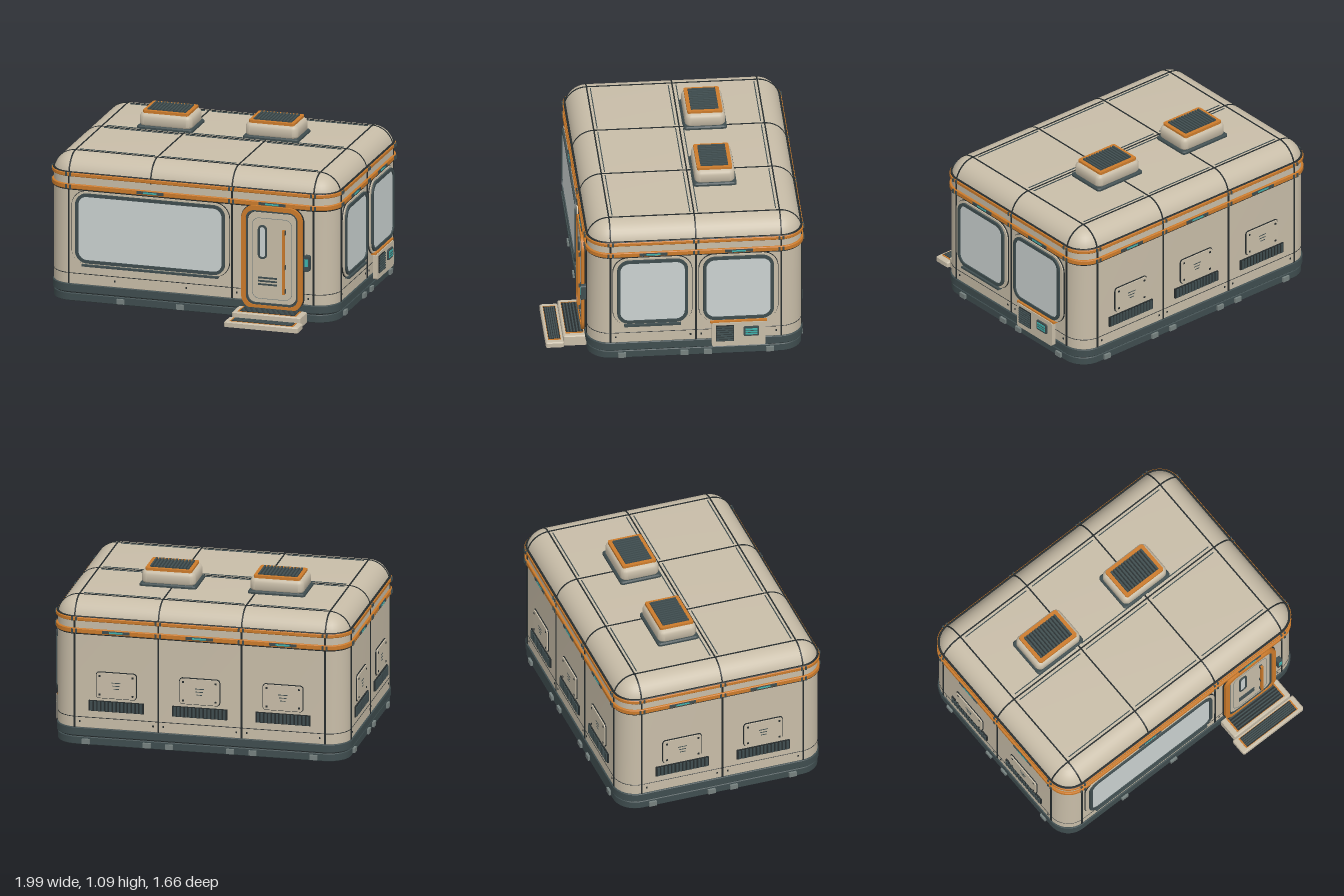
import * as THREE from 'three';
import { toCreasedNormals } from 'three/addons/utils/BufferGeometryUtils.js';

const mat = (name, color) => {
  const m = new THREE.MeshStandardMaterial({ color });
  m.name = name;
  return m;
};
const M = {
  shell: mat('warm beige', 0xc8bda8),
  slate: mat('dark slate', 0x3f4d4f),
  seam: mat('seam black', 0x262c2d),
  orange: mat('orange', 0xcc7b2b),
  glass: mat('pale glass', 0xcbd2d1),
  teal: mat('teal light', 0x3fb3ae),
  steel: mat('steel grey', 0x76817f),
};
const CX = -0.018, CZ = -0.12, W = 0.96, D = 0.688, R = 0.145;

function add(parent, name, geo, material, x = 0, y = 0, z = 0) {
  const m = new THREE.Mesh(geo, material);
  m.name = name;
  m.position.set(x, y, z);
  parent.add(m);
  return m;
}
const box = (p, name, material, w, h, d, x, y, z) =>
  add(p, name, new THREE.BoxGeometry(w, h, d), material, x, y, z);

// Solid with a rounded-rectangle plan; rings are [inset, y] from the bottom up
function loft(rings, w, d, r) {
  const pos = [], idx = [], S = 8, N = 4 * (S + 1);
  for (const [inset, y] of rings) {
    const rad = Math.max(r - inset, 0.002);
    for (let q = 0; q < 4; q++) for (let s = 0; s <= S; s++) {
      const a = (q + s / S) * Math.PI / 2;
      const sx = q === 0 || q === 3 ? 1 : -1, sz = q < 2 ? 1 : -1;
      pos.push(sx * (w - inset - rad) + rad * Math.cos(a), y, sz * (d - inset - rad) + rad * Math.sin(a));
    }
  }
  const last = rings.length - 1, bottom = pos.length / 3, top = bottom + 1;
  pos.push(0, rings[0][1], 0, 0, rings[last][1], 0);
  for (let i = 0; i < N; i++) {
    const j = (i + 1) % N;
    for (let k = 0; k < last; k++) {
      const a = k * N + i, b = k * N + j;
      idx.push(a, a + N, b, b, a + N, b + N);
    }
    idx.push(bottom, i, j, top, last * N + j, last * N + i);
  }
  const g = new THREE.BufferGeometry();
  g.setAttribute('position', new THREE.Float32BufferAttribute(pos, 3));
  g.setIndex(idx);
  return toCreasedNormals(g, 0.6);
}
const slab = (p, name, material, grow, y0, y1) =>
  add(p, name, loft([[0.004, y0], [0, y0 + 0.004], [0, y1 - 0.004], [0.004, y1]], W + grow, D + grow, R + grow), material);

// Rounded rectangles for plates and frames
function rounded(w, h, r, Type = THREE.Shape) {
  const s = new Type(), x = w / 2, y = h / 2, q = Math.PI / 2;
  s.absarc(x - r, y - r, r, 0, q);
  s.absarc(r - x, y - r, r, q, 2 * q);
  s.absarc(r - x, r - y, r, 2 * q, 3 * q);
  s.absarc(x - r, r - y, r, 3 * q, 4 * q);
  s.closePath();
  return s;
}
const extrude = (s, depth) => new THREE.ExtrudeGeometry(s, { depth, bevelEnabled: false, curveSegments: 8 });
const plate = (p, name, material, w, h, r, d, x, y, z) =>
  add(p, name, extrude(rounded(w, h, r), d), material, x, y, z);
function frame(p, name, material, w, h, r, t, d, x, y, z) {
  const s = rounded(w, h, r);
  s.holes.push(rounded(w - 2 * t, h - 2 * t, Math.max(r - t, 0.003), THREE.Path));
  return add(p, name, extrude(s, d), material, x, y, z);
}

function windowUnit(p, u, w, z, sill) {
  const y = 0.497;
  plate(p, 'windowGasket', M.seam, w + 0.058, 0.498, 0.105, 0.007, u, y, z);
  plate(p, 'windowBezel', M.shell, w + 0.05, 0.49, 0.1, 0.014, u, y, z);
  frame(p, 'windowFrame', M.slate, w, 0.465, 0.078, 0.021, 0.026, u, y, z);
  plate(p, 'windowGlass', M.glass, w - 0.036, 0.429, 0.06, 0.018, u, y, z);
  box(p, 'windowSill', sill, w - 0.09, 0.013, 0.034, u, 0.25, z + 0.015);
}

function serviceBay(p, u, z) {
  plate(p, 'hatchOutline', M.seam, 0.268, 0.178, 0.022, 0.006, u, 0.41, z);
  plate(p, 'hatchCover', M.shell, 0.258, 0.168, 0.018, 0.013, u, 0.41, z);
  for (const i of [-1, 1]) for (const j of [-1, 1])
    box(p, 'hatchBolt', M.seam, 0.012, 0.012, 0.006, u + i * 0.107, 0.41 + j * 0.062, z + 0.013);
  for (let i = 0; i < 3; i++)
    box(p, 'hatchMark', M.slate, 0.06 - i * 0.012, 0.005, 0.003, u, 0.43 - i * 0.02, z + 0.013);
  box(p, 'grilleBack', M.seam, 0.36, 0.07, 0.012, u, 0.268, z + 0.004);
  for (let i = 0; i < 14; i++) box(p, 'grilleFin', M.slate, 0.014, 0.062, 0.012, u - 0.1625 + i * 0.025, 0.268, z + 0.011);
}

function door(p, u, z) {
  const g = new THREE.Group();
  g.name = 'door';
  g.position.set(u, 0, z);
  p.add(g);
  plate(g, 'doorRecess', M.seam, 0.424, 0.7, 0.097, 0.008, 0, 0.408, 0);
  frame(g, 'doorFrame', M.orange, 0.41, 0.69, 0.09, 0.03, 0.028, 0, 0.41, 0);
  frame(g, 'doorSeal', M.slate, 0.352, 0.632, 0.062, 0.013, 0.022, 0, 0.41, 0);
  plate(g, 'doorLeaf', M.shell, 0.32, 0.6, 0.05, 0.018, 0, 0.41, 0);
  frame(g, 'doorInset', M.steel, 0.27, 0.54, 0.05, 0.003, 0.02, 0, 0.405, 0);
  frame(g, 'doorWindowFrame', M.slate, 0.06, 0.225, 0.029, 0.012, 0.028, -0.063, 0.515, 0);
  plate(g, 'doorWindowGlass', M.glass, 0.044, 0.205, 0.02, 0.022, -0.063, 0.515, 0);
  box(g, 'doorHandle', M.orange, 0.016, 0.43, 0.014, 0.083, 0.395, 0.035);
  for (const y of [0.2, 0.36, 0.59]) box(g, 'handleBracket', M.slate, 0.02, 0.03, 0.022, 0.083, y, 0.027);
  for (let i = 0; i < 3; i++) box(g, 'doorLouvre', M.slate, 0.125, 0.011, 0.008, -0.03, 0.232 + i * 0.022, 0.019);
  plate(g, 'entryPanel', M.slate, 0.04, 0.105, 0.012, 0.035, 0.235, 0.398, 0);
  box(g, 'entryScreen', M.teal, 0.022, 0.05, 0.006, 0.235, 0.405, 0.035);
}

function climateUnit(p, u, z) {
  plate(p, 'climateHousing', M.shell, 0.345, 0.17, 0.012, 0.03, u, 0.162, z);
  box(p, 'climateVent', M.seam, 0.115, 0.115, 0.01, u - 0.09, 0.172, z + 0.031);
  for (let i = 0; i < 7; i++) box(p, 'climateFin', M.slate, 0.11, 0.009, 0.014, u - 0.09, 0.124 + i * 0.016, z + 0.036);
  plate(p, 'climateScreenFrame', M.slate, 0.1, 0.068, 0.01, 0.04, u + 0.08, 0.183, z);
  box(p, 'climateScreen', M.teal, 0.075, 0.043, 0.004, u + 0.08, 0.183, z + 0.041);
  for (let i = 0; i < 2; i++) box(p, 'screenLine', M.slate, 0.075, 0.004, 0.006, u + 0.08, 0.176 + i * 0.014, z + 0.041);
}

// Seams, lights and feet shared by every wall; u runs along the wall
function wall(root, name, turn, z, bays, seams) {
  const p = new THREE.Group();
  p.name = name;
  p.rotation.y = turn;
  root.add(p);
  for (const u of seams) {
    box(p, 'wallSeam', M.seam, 0.011, 0.72, 0.008, u, 0.475, z);
    for (const s of [-1, 1]) for (const [y, h] of [[0.765, 0.028], [0.846, 0.022]])
      box(p, 'bandClip', M.slate, 0.012, h, 0.01, u + s * 0.014, y, z + 0.014);
  }
  for (const u of bays) {
    box(p, 'lightHousing', M.slate, 0.18, 0.018, 0.012, u, 0.768, z + 0.014);
    box(p, 'lightStrip', M.teal, 0.09, 0.01, 0.008, u, 0.768, z + 0.018);
    for (const s of [-1, 1]) {
      box(p, 'foot', M.steel, 0.05, 0.032, 0.02, u + s * 0.2, 0.024, z + 0.005);
      box(p, 'skirtBolt', M.seam, 0.01, 0.012, 0.006, u + s * 0.24, 0.155, z);
    }
  }
  return p;
}

function roofSeam(half, thick) {
  const s = new THREE.Shape(), r = 0.143, c = half + 0.003 - r;
  s.moveTo(-half, 0.825);
  s.lineTo(half, 0.825);
  s.absarc(c, 0.825, r, 0, Math.PI / 2);
  s.absarc(-c, 0.825, r, Math.PI / 2, Math.PI);
  return extrude(s, thick).translate(0, 0, -thick / 2);
}

function roofVent(root, x) {
  const g = new THREE.Group();
  g.name = 'roofVent';
  g.position.set(x, 0, -0.165);
  root.add(g);
  add(g, 'ventBase', loft([[0, 0.96], [0, 0.977], [0.008, 0.985]], 0.187, 0.139, 0.02), M.slate);
  add(g, 'ventHousing', loft([[0.008, 0.983], [0, 0.995], [0, 1.04], [0.006, 1.055], [0.018, 1.066], [0.03, 1.069]], 0.177, 0.129, 0.04), M.shell);
  const rim = frame(g, 'ventRim', M.orange, 0.306, 0.226, 0.015, 0.024, 0.018, 0, 1.064, 0);
  rim.rotation.x = -Math.PI / 2;
  box(g, 'ventWell', M.seam, 0.262, 0.012, 0.182, 0, 1.067, 0);
  for (let i = 0; i < 12; i++) box(g, 'ventSlat', M.slate, 0.012, 0.022, 0.176, -0.121 + i * 0.022, 1.079, 0);
}

function step(root, x, w, z0, z1, h) {
  const g = new THREE.Group(), d = z1 - z0;
  g.name = 'step';
  g.position.set(x, 0, (z0 + z1) / 2);
  root.add(g);
  add(g, 'stepBody', loft([[0, 0], [0, h - 0.007], [0.007, h]], w / 2, d / 2, 0.012), M.shell);
  box(g, 'treadTrim', M.orange, w - 0.07, 0.006, d - 0.035, 0, h, 0);
  box(g, 'tread', M.seam, w - 0.09, 0.008, d - 0.04, 0, h, 0);
  for (let i = 0; i < 5; i++) box(g, 'treadRib', M.slate, w - 0.094, 0.012, 0.009, 0, h, (i - 2) * (d - 0.05) / 5);
}

export function createModel() {
  const model = new THREE.Group();
  model.name = 'modularCabin';
  const cabin = new THREE.Group();
  cabin.name = 'cabin';
  cabin.position.set(CX, 0, CZ);
  model.add(cabin);

  // Stacked shell: skirt, walls, bands
  slab(cabin, 'baseSkirt', M.slate, 0, 0, 0.052);
  slab(cabin, 'skirtGroove', M.seam, -0.006, 0.05, 0.066);
  slab(cabin, 'upperSkirt', M.slate, 0.008, 0.06, 0.115);
  slab(cabin, 'walls', M.shell, 0, 0.113, 0.84);
  slab(cabin, 'wallLine', M.seam, 0.002, 0.181, 0.19);
  slab(cabin, 'lowerBandShadow', M.seam, 0.009, 0.742, 0.753);
  slab(cabin, 'lowerBand', M.orange, 0.014, 0.75, 0.782);
  slab(cabin, 'upperBand', M.orange, 0.014, 0.832, 0.857);
  slab(cabin, 'upperBandCap', M.seam, 0.009, 0.855, 0.862);

  // Domed roof with module seams
  const rings = [];
  for (let i = 0; i <= 10; i++) {
    const a = i / 10 * Math.PI / 2;
    rings.push([0.14 * (1 - Math.cos(a)), 0.825 + 0.14 * Math.sin(a)]);
  }
  add(cabin, 'roof', loft(rings, W, D, R), M.shell);
  const longSeams = [-0.822, -0.273, 0.273, 0.822], sideSeams = [-0.548, 0, 0.548];
  for (const x of longSeams) add(cabin, 'roofSeam', roofSeam(D, 0.009), M.seam, x).rotation.y = Math.PI / 2;
  for (const z of sideSeams) add(cabin, 'roofSeam', roofSeam(W, 0.009), M.seam, 0, 0, z);
  for (const x of [-0.547, 0, 0.547]) for (const z of [-0.525, -0.025, 0.025, 0.525])
    box(cabin, 'roofRib', M.slate, 0.5, 0.008, 0.006, x, 0.965, z);
  roofVent(cabin, -0.41);
  roofVent(cabin, 0.301);

  // Underside joints
  for (const x of [-0.273, 0.273]) box(cabin, 'floorJoint', M.seam, 0.01, 0.002, 1.36, x, 0.001, 0);
  box(cabin, 'floorJoint', M.seam, 1.9, 0.002, 0.01, 0, 0.001, 0);

  // Four walls
  const long = [-0.547, 0, 0.547], short = [-0.275, 0.275], q = Math.PI / 2;
  const front = wall(cabin, 'frontWall', 0, D, [-0.273, 0.547], [-0.822, 0.273, 0.822]);
  windowUnit(front, -0.27, 1.005, D, M.slate);
  door(front, 0.548, D);
  const right = wall(cabin, 'rightWall', q, W, short, sideSeams);
  windowUnit(right, -0.28, 0.455, W, M.slate);
  windowUnit(right, 0.272, 0.455, W, M.orange);
  climateUnit(right, 0.272, W + 0.008);
  const back = wall(cabin, 'backWall', 2 * q, D, long, longSeams);
  for (const u of long) serviceBay(back, u, D);
  const left = wall(cabin, 'leftWall', -q, W, short, sideSeams);
  for (const u of short) serviceBay(left, u, W);

  // Entry steps
  step(model, 0.53, 0.46, 0.565, 0.715, 0.07);
  step(model, 0.53, 0.495, 0.712, 0.828, 0.036);
  return model;
}
